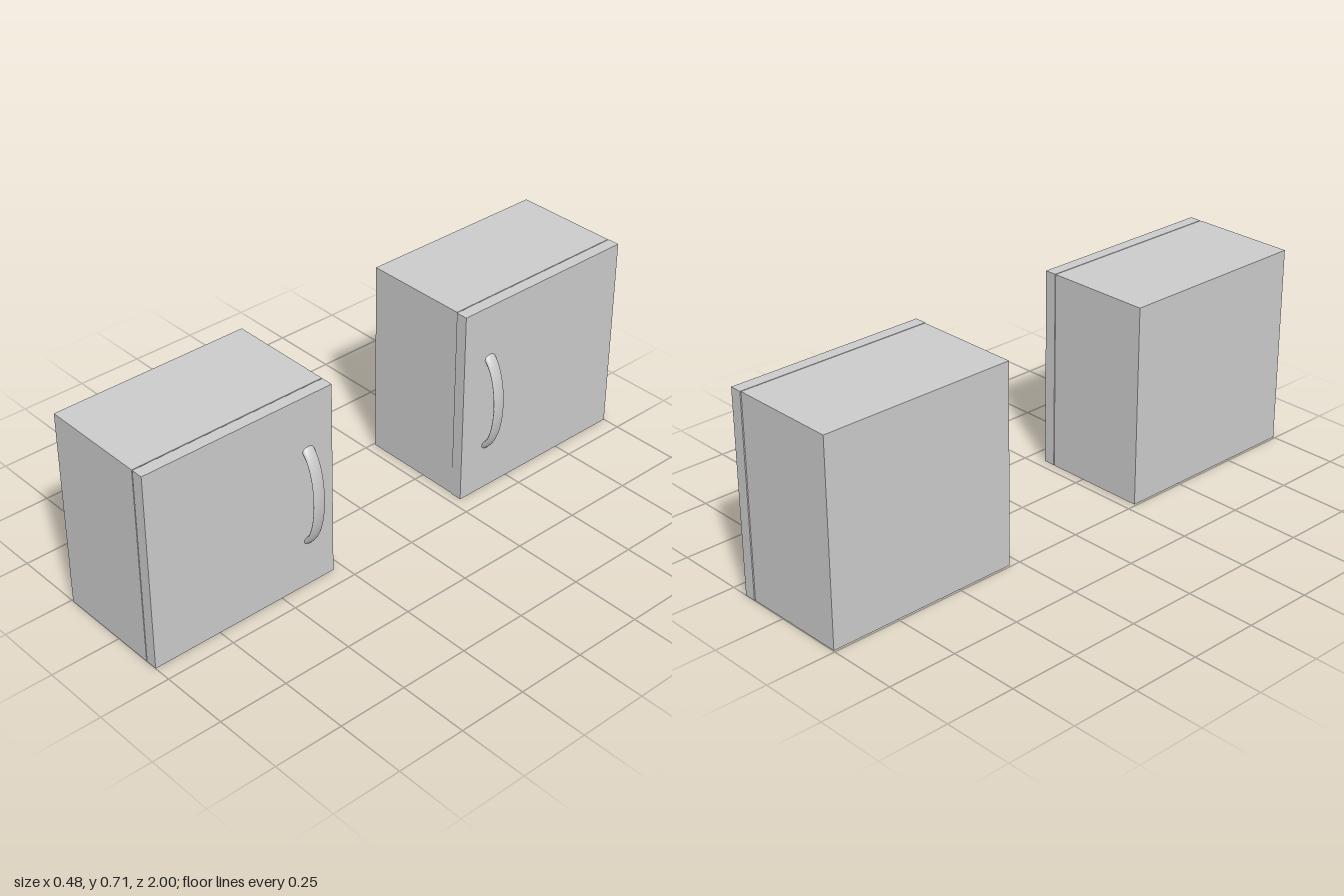
import * as THREE from 'three';

const HEIGHT = 0.715;

function box(name, x0, x1, z0, z1, material) {
  const mesh = new THREE.Mesh(new THREE.BoxGeometry(x1 - x0, HEIGHT, z1 - z0), material);
  mesh.position.set((x0 + x1) / 2, HEIGHT / 2, (z0 + z1) / 2);
  mesh.name = name;
  return mesh;
}

// Bow handle: a squashed ring arc whose ends sink into the door
function bowHandle(z, material) {
  const half = THREE.MathUtils.degToRad(78);
  const geometry = new THREE.TorusGeometry(0.1815, 0.0145, 16, 40, half * 2);
  geometry.rotateZ(-half);
  geometry.scale(0.41, 1, 1.55);
  const mesh = new THREE.Mesh(geometry, material);
  mesh.position.set(0.16, 0.345, z);
  mesh.name = 'handle';
  return mesh;
}

export function createModel() {
  const material = new THREE.MeshStandardMaterial({ color: 0xcccccc });
  const model = new THREE.Group();
  model.name = 'cabinetPair';

  // Two cabinets along z, each with a door on its +x side
  const cabinets = [
    { name: 'frontCabinet', body: [0.285, 1], door: [0.285, 1], handleZ: 0.382 },
    { name: 'backCabinet', body: [-0.998, -0.287], door: [-1, -0.284], handleZ: -0.4 },
  ];
  for (const c of cabinets) {
    const cabinet = new THREE.Group();
    cabinet.name = c.name;
    cabinet.add(
      box('body', -0.243, 0.1405, ...c.body, material),
      box('door', 0.1435, 0.186, ...c.door, material),
      bowHandle(c.handleZ, material),
    );
    model.add(cabinet);
  }
  return model;
}
